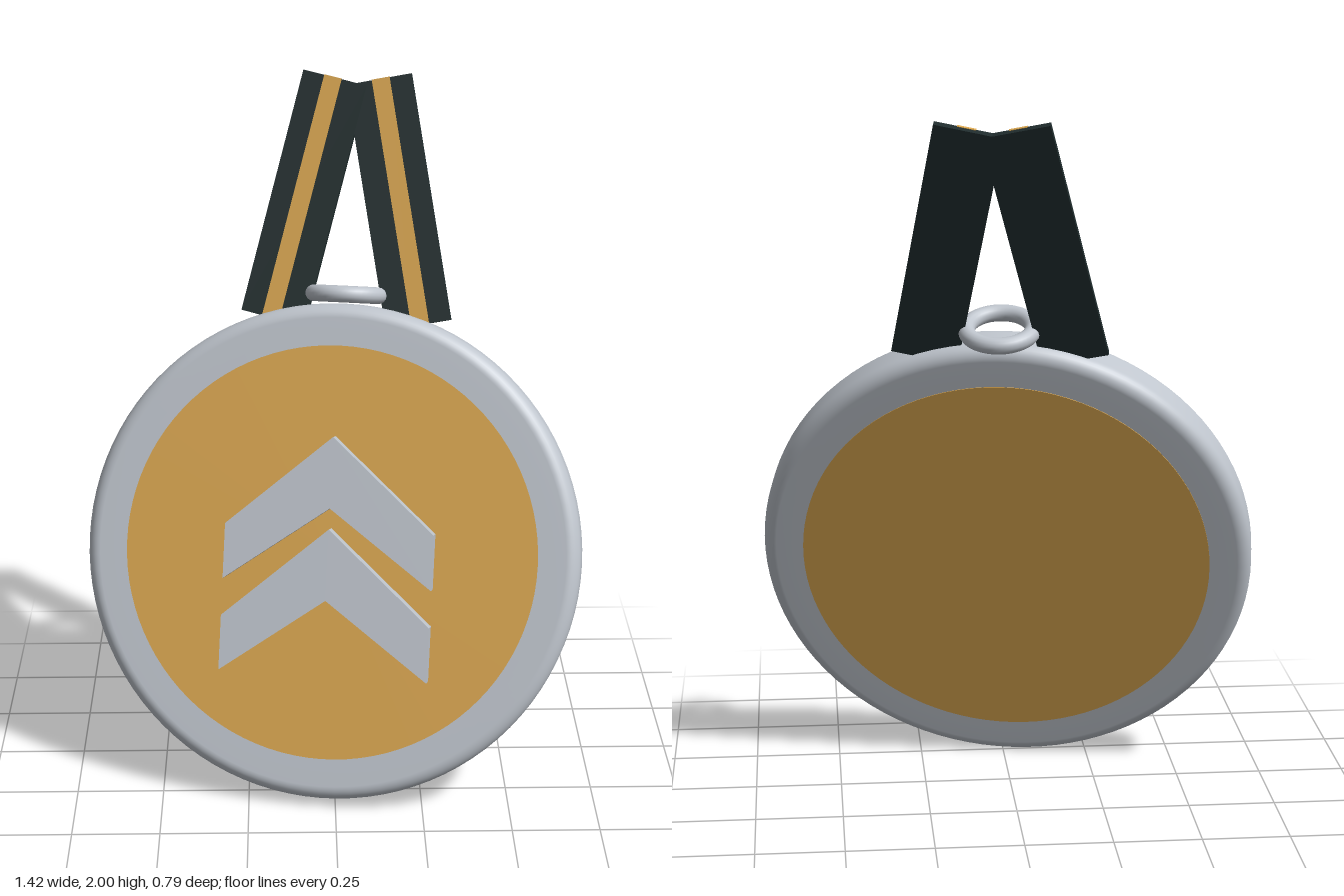
import * as THREE from 'three';

const silver = new THREE.MeshStandardMaterial({ name: 'silver', color: 0xbfc5cd });
const gold = new THREE.MeshStandardMaterial({ name: 'gold', color: 0xd9a650 });
const cloth = new THREE.MeshStandardMaterial({ name: 'dark ribbon', color: 0x1f2c2d });

export function createModel() {
  const model = new THREE.Group();
  model.name = 'medal';

  // Everything is built upright facing +z, then tilted as one piece
  const medal = new THREE.Group();
  medal.name = 'tiltedMedal';
  medal.rotation.set(-0.318, -0.172, 0, 'YXZ');
  medal.position.set(0, 0.693, 0.088);
  model.add(medal);

  const add = (name, geometry, material, parent = medal) => {
    const mesh = new THREE.Mesh(geometry, material);
    mesh.name = name;
    parent.add(mesh);
    return mesh;
  };

  // Rim: flat faces with rounded edges
  const R = 0.715, h = 0.068, c = 0.04;
  const profile = [new THREE.Vector2(0.5, -h), new THREE.Vector2(0.62, -h)];
  const arc = (cy, from) => {
    for (let i = 0; i <= 8; i++) {
      const a = from + (i / 8) * Math.PI / 2;
      profile.push(new THREE.Vector2(R - c + c * Math.cos(a), cy + c * Math.sin(a)));
    }
  };
  arc(-h + c, -Math.PI / 2);
  arc(h - c, 0);
  profile.push(new THREE.Vector2(0.62, h), new THREE.Vector2(0.5, h));
  add('rim', new THREE.LatheGeometry(profile, 96).rotateX(Math.PI / 2), silver);

  // Gold face, front and back
  add('face', new THREE.CylinderGeometry(0.595, 0.595, 0.14, 96).rotateX(Math.PI / 2), gold);

  // Two raised chevrons
  const chevron = new THREE.Shape([
    [0, 0.336], [-0.3, 0.073], [-0.3, -0.085], [0, 0.132], [0.3, -0.085], [0.3, 0.073],
  ].map(([x, y]) => new THREE.Vector2(x, y)));
  const chevronGeometry = new THREE.ExtrudeGeometry(chevron, { depth: 0.056, bevelEnabled: false });
  ['upperChevron', 'lowerChevron'].forEach((name, i) => {
    add(name, chevronGeometry, silver).position.set(0, -0.264 * i, 0.065);
  });

  // Hanging ring
  add('ring', new THREE.TorusGeometry(0.093, 0.024, 16, 48).rotateX(Math.PI / 2), silver)
    .position.set(0, 0.742, 0);

  // Two ribbon straps leaning together, striped on the front
  for (const side of [-1, 1]) {
    const strap = new THREE.Group();
    strap.name = side < 0 ? 'rightRibbon' : 'leftRibbon';
    strap.position.set(side * 0.1376, 1.012, -0.02);
    strap.rotation.z = side * 0.21;
    medal.add(strap);
    add('band', new THREE.BoxGeometry(0.19, 0.713, 0.022), cloth, strap);
    add('stripe', new THREE.BoxGeometry(0.052, 0.716, 0.009), gold, strap)
      .position.set(side * 0.006, 0, 0.0095);
  }
  return model;
}
